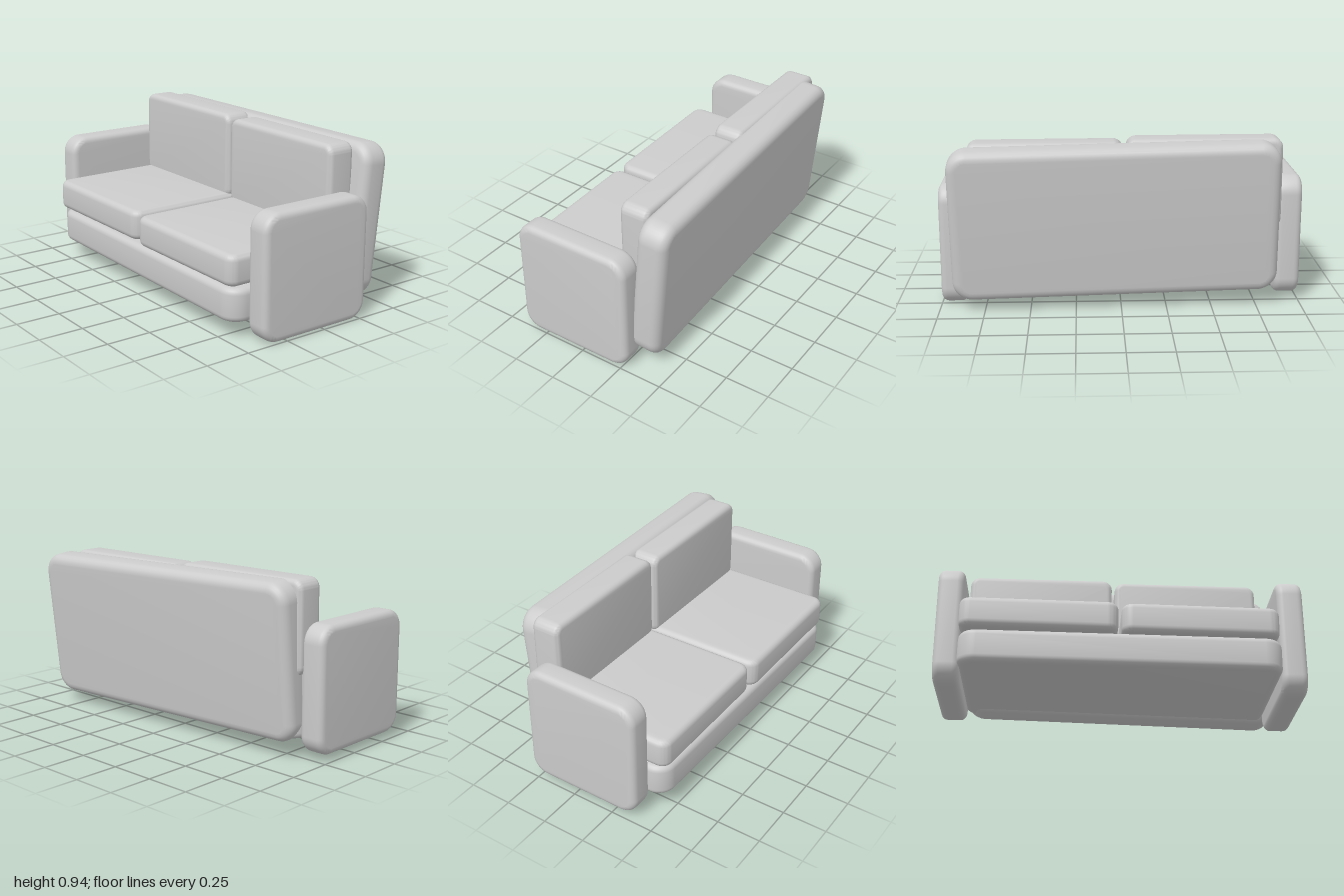
import * as THREE from 'three';
import { toCreasedNormals } from 'three/addons/utils/BufferGeometryUtils.js';

const material = new THREE.MeshStandardMaterial({ color: 0xcccccc });

// Rounded slab: w x h outline with corner radius r, thickness t with a soft edge
// of radius e. It lies across the given axis ('x', 'y' or 'z').
function slab(w, h, t, r, e, axis) {
  const a = w / 2 - e, b = h / 2 - e, c = r - e;
  const shape = new THREE.Shape();
  shape.moveTo(-a + c, -b);
  shape.lineTo(a - c, -b);
  shape.absarc(a - c, -b + c, c, -Math.PI / 2, 0);
  shape.absarc(a - c, b - c, c, 0, Math.PI / 2);
  shape.absarc(-a + c, b - c, c, Math.PI / 2, Math.PI);
  shape.absarc(-a + c, -b + c, c, Math.PI, Math.PI * 1.5);
  let geometry = new THREE.ExtrudeGeometry(shape, {
    depth: t - 2 * e, bevelThickness: e, bevelSize: e, bevelSegments: 5, curveSegments: 6,
  });
  geometry.translate(0, 0, e - t / 2);
  if (axis === 'x') geometry.rotateY(Math.PI / 2);
  if (axis === 'y') geometry.rotateX(-Math.PI / 2);
  return toCreasedNormals(geometry, 0.8);
}

export function createModel() {
  const sofa = new THREE.Group();
  sofa.name = 'sofa';

  const add = (name, geometry, position, rotation = [0, 0, 0]) => {
    const mesh = new THREE.Mesh(geometry, material);
    mesh.name = name;
    mesh.position.set(...position);
    mesh.rotation.set(...rotation);
    sofa.add(mesh);
  };

  // Armrests, one sitting slightly higher than the other
  const arm = slab(0.69, 0.68, 0.142, 0.1, 0.035, 'z');
  add('leftArm', arm, [-0.055, 0.34, 0.929]);
  add('rightArm', arm, [-0.055, 0.375, -0.929]);

  // Base under the seats
  add('base', slab(0.83, 1.73, 0.185, 0.1, 0.035, 'y'), [-0.08, 0.19, -0.005], [0.012, 0, 0]);

  // Leaning backrest panel
  add('backPanel', slab(1.79, 0.845, 0.172, 0.11, 0.05, 'x'), [0.342, 0.5, 0.034], [0.014, 0.037, -0.095]);

  // Seat and back cushions
  const seat = slab(0.8, 0.85, 0.17, 0.06, 0.035, 'y');
  const cushion = slab(0.85, 0.5, 0.168, 0.055, 0.03, 'x');
  for (const [side, z, lift] of [['left', 0.42, 0], ['right', -0.447, 0.018]]) {
    add(side + 'Seat', seat, [-0.1, 0.37 + lift, z], [0.01, 0.01, 0]);
    add(side + 'BackCushion', cushion, [0.237, 0.67 + lift, z - 0.007], [0.004, 0.004, 0]);
  }
  return sofa;
}
